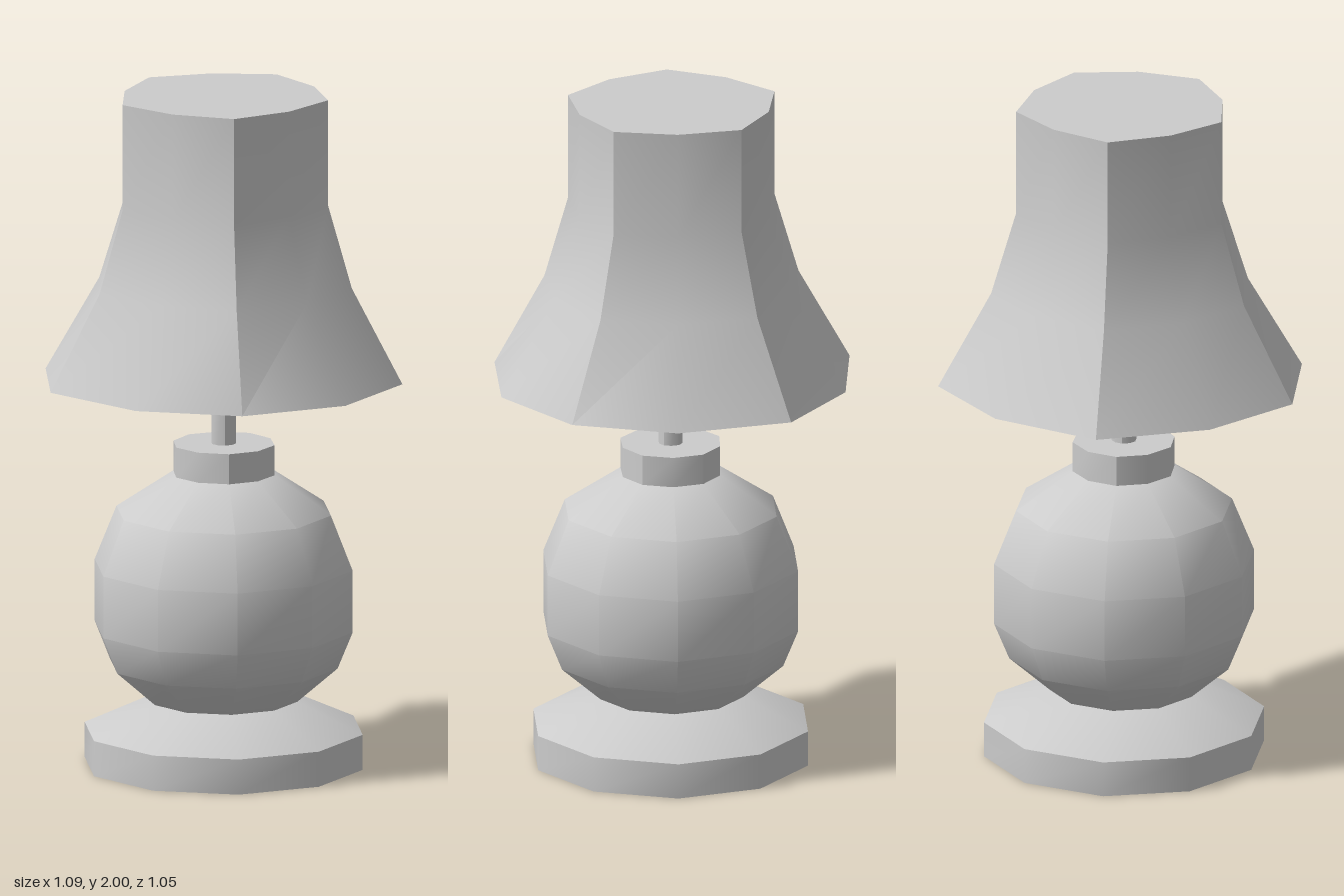
import * as THREE from 'three';
import { toCreasedNormals } from 'three/addons/utils/BufferGeometryUtils.js';

const SIDES = 10;
const AXIS_X = 0.015;

// Skin a stack of rings (bottom to top) and close both ends.
// Each ring is { y, points: [[x, z], ...] }.
function loft(rings, crease) {
  const positions = [], index = [];
  const n = rings[0].points.length;
  for (const { y, points } of rings) for (const [x, z] of points) positions.push(x, y, z);
  for (let r = 0; r < rings.length - 1; r++) {
    for (let i = 0; i < n; i++) {
      const a = r * n + i, b = r * n + (i + 1) % n;
      index.push(a, a + n, b, b, a + n, b + n);
    }
  }
  const bottom = positions.length / 3, top = bottom + 1, last = (rings.length - 1) * n;
  positions.push(0, rings[0].y, 0, 0, rings[rings.length - 1].y, 0);
  for (let i = 0; i < n; i++) {
    const j = (i + 1) % n;
    index.push(bottom, i, j, top, last + j, last + i);
  }
  const geometry = new THREE.BufferGeometry();
  geometry.setAttribute('position', new THREE.Float32BufferAttribute(positions, 3));
  geometry.setIndex(index);
  return toCreasedNormals(geometry, crease);
}

// Ten-sided ring; a soft factor below 1 sharpens every second corner.
function circle(radius, soft = 1) {
  return Array.from({ length: SIDES }, (_, i) => {
    const angle = (i / SIDES) * Math.PI * 2;
    const r = i % 2 ? radius : radius * soft;
    return [AXIS_X + r * Math.cos(angle), r * Math.sin(angle)];
  });
}

// Turned part from [radius, y] pairs
function turned(profile, soft) {
  return loft(profile.map(([r, y]) => ({ y, points: circle(r, soft) })), 0.66);
}

// Complete a half outline by reflecting it in z
function mirrorOutline(half) {
  return [...half, ...half.slice(1, -1).reverse().map(([x, z]) => [x, -z])];
}

export function createModel() {
  const lamp = new THREE.Group();
  lamp.name = 'tableLamp';
  const grey = new THREE.MeshStandardMaterial({ color: 0xcccccc });
  grey.name = 'light grey';

  const add = (name, geometry) => {
    const mesh = new THREE.Mesh(geometry, grey);
    mesh.name = name;
    lamp.add(mesh);
  };

  // Foot with a sloping upper face
  add('foot', turned([[0.415, 0], [0.415, 0.105], [0.22, 0.195]]));

  // Round body
  add('body', turned([
    [0.22, 0.195], [0.34, 0.30], [0.385, 0.41],
    [0.385, 0.595], [0.32, 0.757], [0.152, 0.87],
  ]));

  // Collar and stem
  add('collar', turned([[0.152, 0.87], [0.152, 0.96]], 0.985));
  add('stem', turned([[0.037, 0.96], [0.037, 1.16]], 0.985));

  // Flared, slightly uneven shade
  const rim = mirrorOutline([
    [0.545, 0], [0.445, 0.315], [0.185, 0.5], [-0.16, 0.523], [-0.41, 0.317], [-0.545, 0],
  ]);
  const crown = mirrorOutline([
    [0.3, 0], [0.265, 0.185], [0.1, 0.278], [-0.09, 0.303], [-0.225, 0.173], [-0.31, 0],
  ]);
  const blend = (t) => crown.map(([x, z], i) => [
    x + (rim[i][0] - x) * t, z + (rim[i][1] - z) * t,
  ]);
  const flare = [[1, 1.16], [0.32, 1.44], [0, 1.685], [0, 2]];
  add('shade', loft(flare.map(([t, y]) => ({ y, points: blend(t) })), 0.6));

  return lamp;
}
